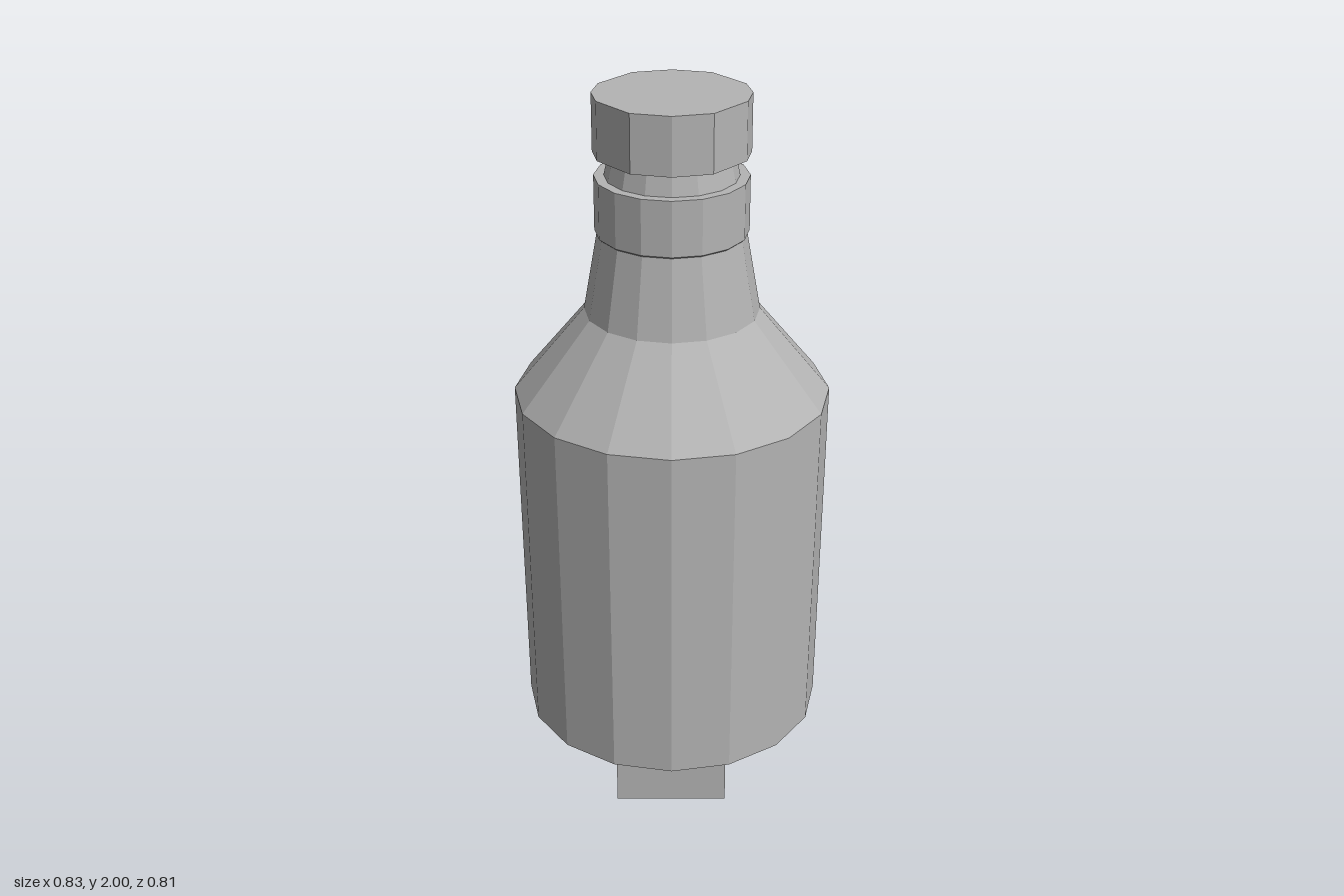
import * as THREE from 'three';

const SIDES = 16;
const DEPTH = 0.97; // the turned parts are slightly narrower front to back

export function createModel() {
  const model = new THREE.Group();
  const grey = new THREE.MeshStandardMaterial({ color: 0xb4b4b4, flatShading: true });
  grey.name = 'grey metal';

  const add = (name, geometry) => {
    const mesh = new THREE.Mesh(geometry, grey);
    mesh.name = name;
    model.add(mesh);
    return mesh;
  };

  // Faceted turned part from [radius, height] pairs, bottom to top
  const turned = (name, profile) => {
    const points = profile.map(([r, y]) => new THREE.Vector2(r, y));
    add(name, new THREE.LatheGeometry(points, SIDES).scale(1, 1, DEPTH));
  };

  // Rectangular foot block
  add('footBlock', new THREE.BoxGeometry(0.305, 0.24, 0.425).translate(-0.002, 0.12, 0.002));

  // Barrel, sloping shoulder and tapered neck
  turned('body', [[0, 0.24], [0.407, 0.24], [0.415, 1.2]]);
  turned('shoulder', [[0.415, 1.2], [0.227, 1.43]]);
  turned('neck', [[0.227, 1.43], [0.19, 1.64]]);

  // Collar and the narrow groove under the cap
  turned('collar', [[0.19, 1.64], [0.196, 1.645], [0.196, 1.79], [0.16, 1.79]]);
  turned('groove', [[0.17, 1.79], [0.157, 1.85]]);

  // Cap: twelve uneven sides
  const quarter = [[0.198, 0], [0.183, 0.073], [0.1, 0.168]];
  const outline = [];
  for (const [sx, sy, flip] of [[1, 1, 0], [-1, 1, 1], [-1, -1, 0], [1, -1, 1]]) {
    const corner = [...quarter, [0, 0.191]].map(([x, y]) => new THREE.Vector2(sx * x, sy * y));
    if (flip) corner.reverse();
    outline.push(...corner.slice(0, 3)); // the last point starts the next quarter
  }
  const cap = new THREE.ExtrudeGeometry(new THREE.Shape(outline), { depth: 0.15, bevelEnabled: false });
  add('cap', cap.rotateX(-Math.PI / 2).translate(0, 1.85, 0));

  return model;
}
